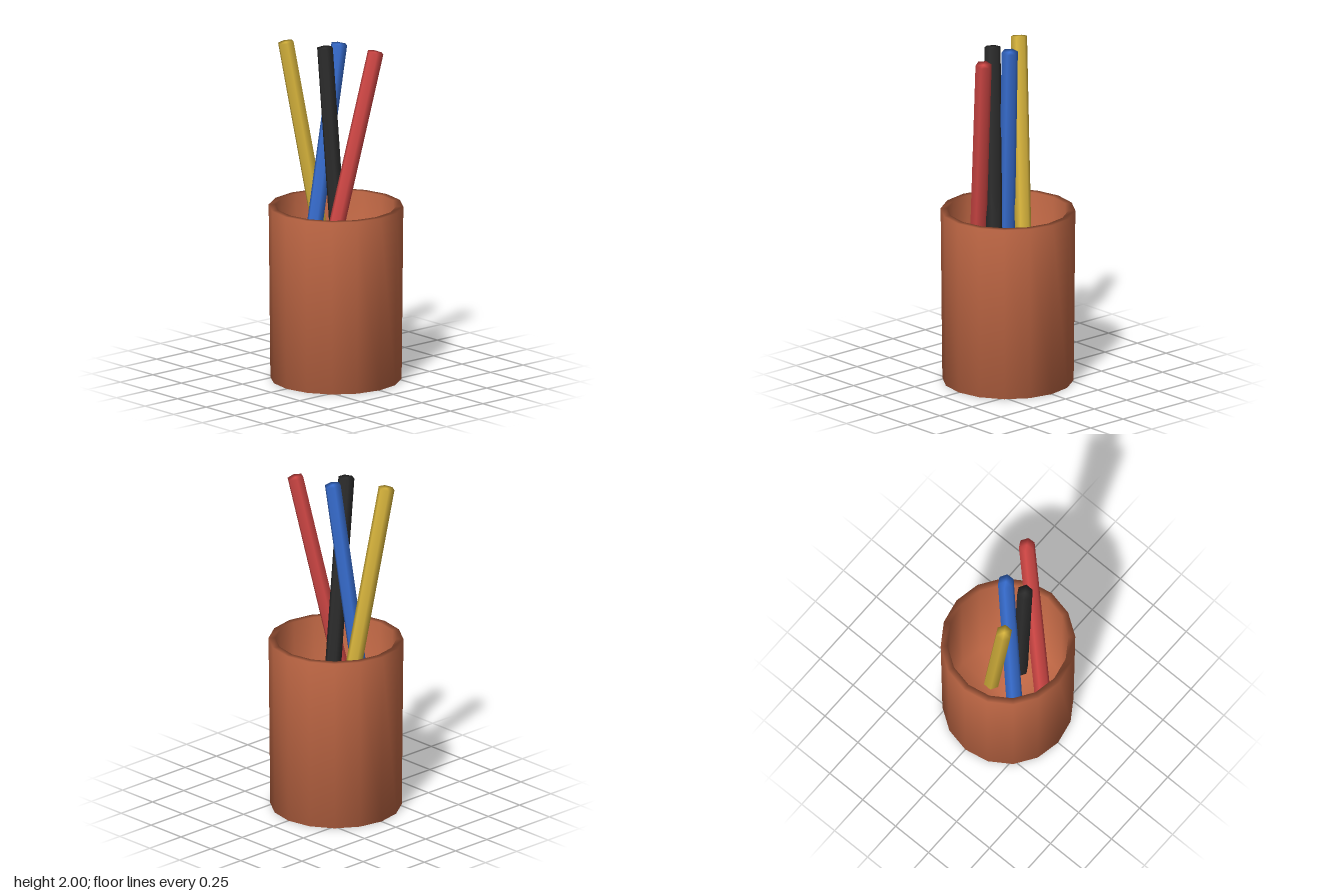
import * as THREE from 'three';

const flat = (name, color) => {
  const m = new THREE.MeshStandardMaterial({ color });
  m.name = name;
  return m;
};

const pts = (list) => list.map(([x, y]) => new THREE.Vector2(x, y));

export function createModel() {
  const group = new THREE.Group();
  group.name = 'penCup';

  // Cup: one closed, softly shaded profile with a wall, rim and inner floor
  const cup = new THREE.Mesh(
    new THREE.LatheGeometry(
      pts([[0, 0], [0.38, 0], [0.39, 1.03], [0.35, 1.03], [0.345, 0.05], [0, 0.05]]),
      16
    ),
    flat('terracotta', 0xc86c48)
  );
  cup.name = 'cup';
  group.add(cup);

  // Six-sided pens, each leaning from a lower end to an upper end
  const radius = 0.048;
  const pens = [
    ['yellowPen', 0xdcb83e, [-0.085, 0.44, -0.05], [-0.24, 1.99, 0.175]],
    ['bluePen', 0x3a72d8, [-0.113, 0.44, 0.148], [0.005, 1.993, -0.021]],
    ['blackPen', 0x2e2e2e, [0.083, 0.44, 0.021], [0.025, 1.997, 0.107]],
    ['redPen', 0xd84a48, [0.065, 0.44, 0.204], [0.258, 1.983, -0.078]],
  ];
  const up = new THREE.Vector3(0, 1, 0);
  for (const [name, color, low, high] of pens) {
    const start = new THREE.Vector3(...low);
    const axis = new THREE.Vector3(...high).sub(start);
    const length = axis.length();
    const pen = new THREE.Mesh(
      new THREE.LatheGeometry(pts([[0, 0], [radius, 0], [radius, length], [0, length]]), 6),
      flat(name.replace('Pen', ''), color)
    );
    pen.name = name;
    pen.position.copy(start);
    pen.quaternion.setFromUnitVectors(up, axis.normalize());
    group.add(pen);
  }

  return group;
}
